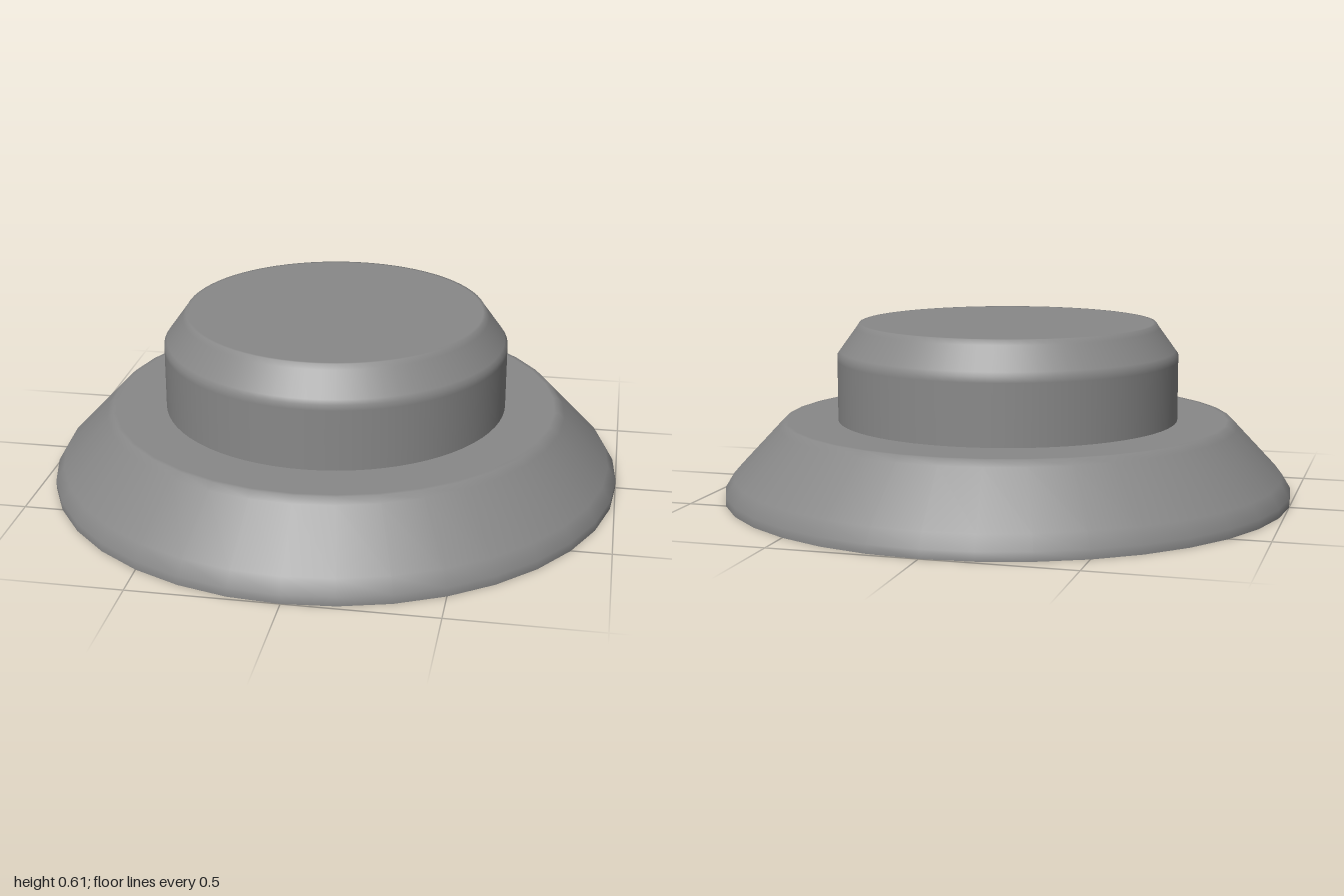
import * as THREE from 'three';

const material = new THREE.MeshStandardMaterial({ color: 0x888888, side: THREE.DoubleSide });

// Revolve an open [radius, height] profile, listed from bottom to top.
function shell(name, profile, segments) {
  const points = profile.map(([r, y]) => new THREE.Vector2(r, y));
  const mesh = new THREE.Mesh(new THREE.LatheGeometry(points, segments), material);
  mesh.name = name;
  return mesh;
}

export function createModel() {
  const group = new THREE.Group();
  group.name = 'hollowCap';

  // Flared skirt, open underneath, turning softly into the flat shoulder
  group.add(shell('skirt', [
    [1, 0], [1, 0.03], [0.97, 0.08], [0.81, 0.25], [0.79, 0.27], [0.775, 0.27], [0.6, 0.27],
  ], 36));

  // Upright wall, softly bevelled upper edge and flat lid
  group.add(shell('crown', [
    [0.6, 0.27], [0.6, 0.48], [0.6, 0.5], [0.59, 0.514],
    [0.533, 0.593], [0.522, 0.61], [0.512, 0.61], [0, 0.61],
  ], 72));

  return group;
}
